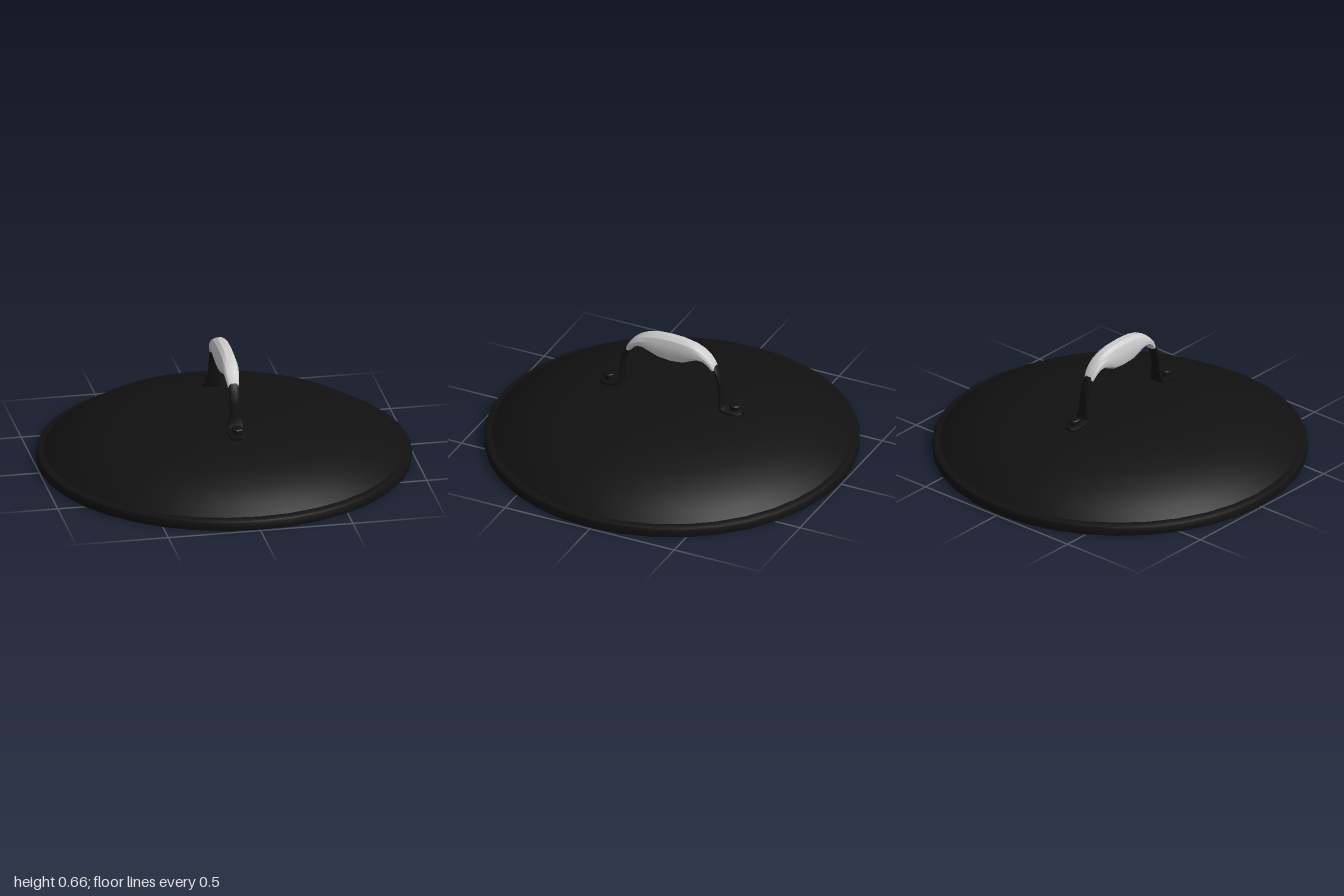
import * as THREE from 'three';
import { toCreasedNormals } from 'three/addons/utils/BufferGeometryUtils.js';

const black = new THREE.MeshStandardMaterial({ color: 0x111111 });
const grey = new THREE.MeshStandardMaterial({ color: 0xcccccc });

function part(name, geometry, material, crease = 0.6) {
  const mesh = new THREE.Mesh(toCreasedNormals(geometry, crease), material);
  mesh.name = name;
  return mesh;
}

function lathe(points) {
  return new THREE.LatheGeometry(points.map(([r, y]) => new THREE.Vector2(r, y)), 36);
}

// Skin over equal rings of points, closed by flat caps
function loft(rings) {
  const n = rings[0].length;
  const last = (rings.length - 1) * n;
  const index = [];
  for (let i = 0; i < rings.length - 1; i++) {
    for (let j = 0; j < n; j++) {
      const a = i * n + j, b = i * n + (j + 1) % n;
      index.push(a, b, b + n, a, b + n, a + n);
    }
  }
  for (let j = 1; j < n - 1; j++) {
    index.push(0, j + 1, j, last, last + j, last + j + 1);
  }
  const g = new THREE.BufferGeometry().setFromPoints(rings.flat());
  g.setIndex(index);
  g.computeVertexNormals();
  return g;
}

// Squarish ring around centre (y, z): half-width along x, half-height along (vy, vz)
function ring(y, z, halfWidth, vy, vz, sides, power) {
  const points = [];
  for (let k = 0; k < sides; k++) {
    const a = (k + 0.5) / sides * Math.PI * 2;
    const c = Math.sign(Math.cos(a)) * Math.abs(Math.cos(a) / Math.cos(Math.PI / sides)) ** power;
    const s = Math.sign(Math.sin(a)) * Math.abs(Math.sin(a) / Math.cos(Math.PI / sides)) ** power;
    points.push(new THREE.Vector3(c * halfWidth, y + s * vy, z + s * vz));
  }
  return points;
}

function gripGeometry() {
  // top z, top y, bottom z, bottom y, half-width
  const half = [
    [0, 0.662, 0, 0.51, 0.045],
    [0.08, 0.657, 0.07, 0.517, 0.045],
    [0.14, 0.643, 0.115, 0.537, 0.044],
    [0.19, 0.618, 0.155, 0.556, 0.042],
    [0.225, 0.588, 0.188, 0.558, 0.039],
    [0.248, 0.56, 0.215, 0.54, 0.035],
    [0.266, 0.525, 0.241, 0.512, 0.028],
  ];
  const mirrored = half.slice(1).reverse().map(([a, b, c, d, w]) => [-a, b, -c, d, w]);
  return loft([...mirrored, ...half].map(([tz, ty, bz, by, w]) =>
    ring((ty + by) / 2, (tz + bz) / 2, w, (ty - by) / 2, (tz - bz) / 2, 12, 0.8)));
}

function bracketGeometry() {
  // z, y, half-width, half-thickness, from the foot tip up into the grip
  const path = [
    [0.418, 0.282, 0.022, 0.011],
    [0.4, 0.284, 0.04, 0.012],
    [0.365, 0.288, 0.047, 0.013],
    [0.325, 0.292, 0.046, 0.013],
    [0.303, 0.302, 0.043, 0.013],
    [0.295, 0.33, 0.036, 0.011],
    [0.292, 0.375, 0.026, 0.011],
    [0.287, 0.435, 0.025, 0.012],
    [0.273, 0.485, 0.025, 0.014],
    [0.252, 0.525, 0.025, 0.015],
    [0.215, 0.568, 0.022, 0.012],
  ];
  return loft(path.map(([z, y, w, t], i) => {
    const p = path[Math.max(i - 1, 0)], q = path[Math.min(i + 1, path.length - 1)];
    const dz = q[0] - p[0], dy = q[1] - p[1], len = Math.hypot(dz, dy);
    return ring(y, z, w, t * dz / len, -t * dy / len, 8, 0.7);
  }));
}

export function createModel() {
  const model = new THREE.Group();
  model.name = 'potLid';

  // Domed shell, hollow underneath
  const dome = [[0.965, 0.06], [0.9, 0.112], [0.8, 0.172], [0.68, 0.218], [0.54, 0.255],
    [0.42, 0.277], [0.27, 0.293], [0.13, 0.299], [0, 0.3]];
  const inside = dome.map(([r, y]) => [Math.max(r - 0.012, 0), y - 0.016]).reverse();
  model.add(part('dome', lathe([...inside, ...dome]), black));

  // Rounded band round the edge
  model.add(part('rim', lathe([[0.95, 0.05], [0.95, 0.005], [0.96, 0], [0.988, 0], [0.998, 0.008],
    [1, 0.02], [1, 0.045], [0.995, 0.056], [0.98, 0.063], [0.96, 0.064], [0.95, 0.05]]), black));

  // Handle: grip with a bolted bracket at each end
  const handle = new THREE.Group();
  handle.name = 'handle';
  handle.add(part('grip', gripGeometry(), grey, 0.45));
  for (const [side, turn] of [['front', 0], ['back', Math.PI]]) {
    const mount = new THREE.Group();
    mount.name = side + 'Mount';
    mount.rotation.y = turn;
    mount.add(part('bracket', bracketGeometry(), black));
    const bolt = part('bolt', lathe([[0, 0], [0.024, 0], [0.024, 0.02], [0.031, 0.022],
      [0.031, 0.033], [0.025, 0.038], [0, 0.039]]), black);
    bolt.position.set(0, 0.296, 0.368);
    bolt.rotation.x = 0.12;
    mount.add(bolt);
    handle.add(mount);
  }
  model.add(handle);
  return model;
}
